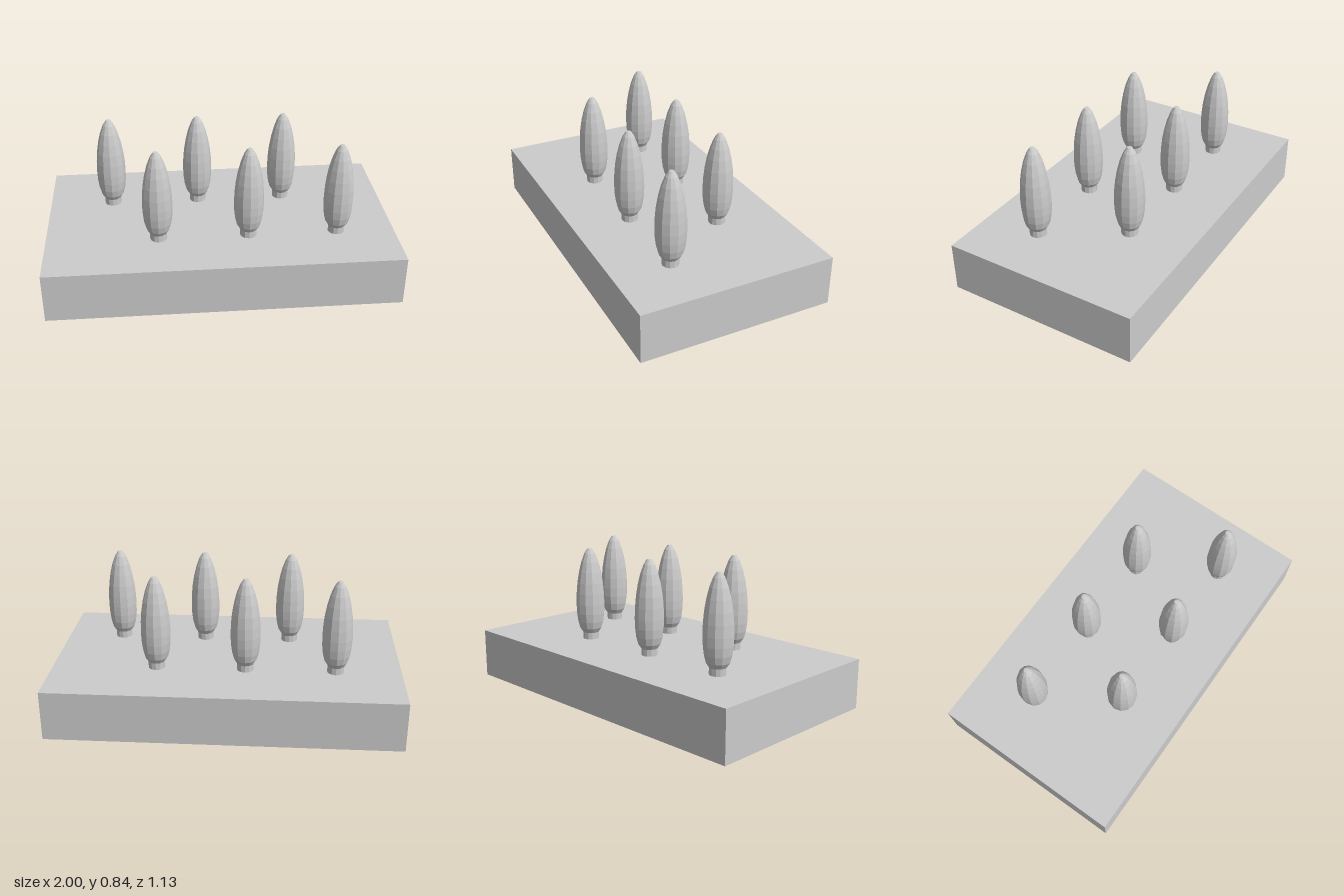
import * as THREE from 'three';

const SIDES = 12;
const BASE_TOP = 0.29;

export function createModel() {
  const model = new THREE.Group();
  model.name = 'treePlanter';
  const material = new THREE.MeshStandardMaterial({ color: 0xcccccc, flatShading: true });

  const addMesh = (parent, geometry, name, y) => {
    const mesh = new THREE.Mesh(geometry, material);
    mesh.name = name;
    mesh.position.y = y;
    parent.add(mesh);
  };

  // Ground slab
  addMesh(model, new THREE.BoxGeometry(2, BASE_TOP, 1.13), 'base', BASE_TOP / 2);

  // Shared tree parts: short trunk and tall tapering crown, [radius, height]
  const trunk = new THREE.CylinderGeometry(0.048, 0.048, 0.05, SIDES);
  const profile = [
    [0, 0.04], [0.048, 0.04], [0.066, 0.068], [0.077, 0.11], [0.083, 0.16],
    [0.085, 0.215], [0.083, 0.28], [0.077, 0.345], [0.066, 0.41],
    [0.051, 0.47], [0.032, 0.52], [0.014, 0.548], [0, 0.55],
  ].map(([r, y]) => new THREE.Vector2(r, y));
  const crown = new THREE.LatheGeometry(profile, SIDES);

  // Two staggered rows of three trees
  const rows = [
    { z: -0.2, xs: [-0.625, -0.11, 0.4] },
    { z: 0.23, xs: [-0.36, 0.155, 0.665] },
  ];
  for (const { z, xs } of rows) {
    for (const x of xs) {
      const tree = new THREE.Group();
      tree.name = 'tree';
      tree.position.set(x, BASE_TOP, z);
      addMesh(tree, trunk, 'trunk', 0.02);
      addMesh(tree, crown, 'crown', 0);
      model.add(tree);
    }
  }
  return model;
}
